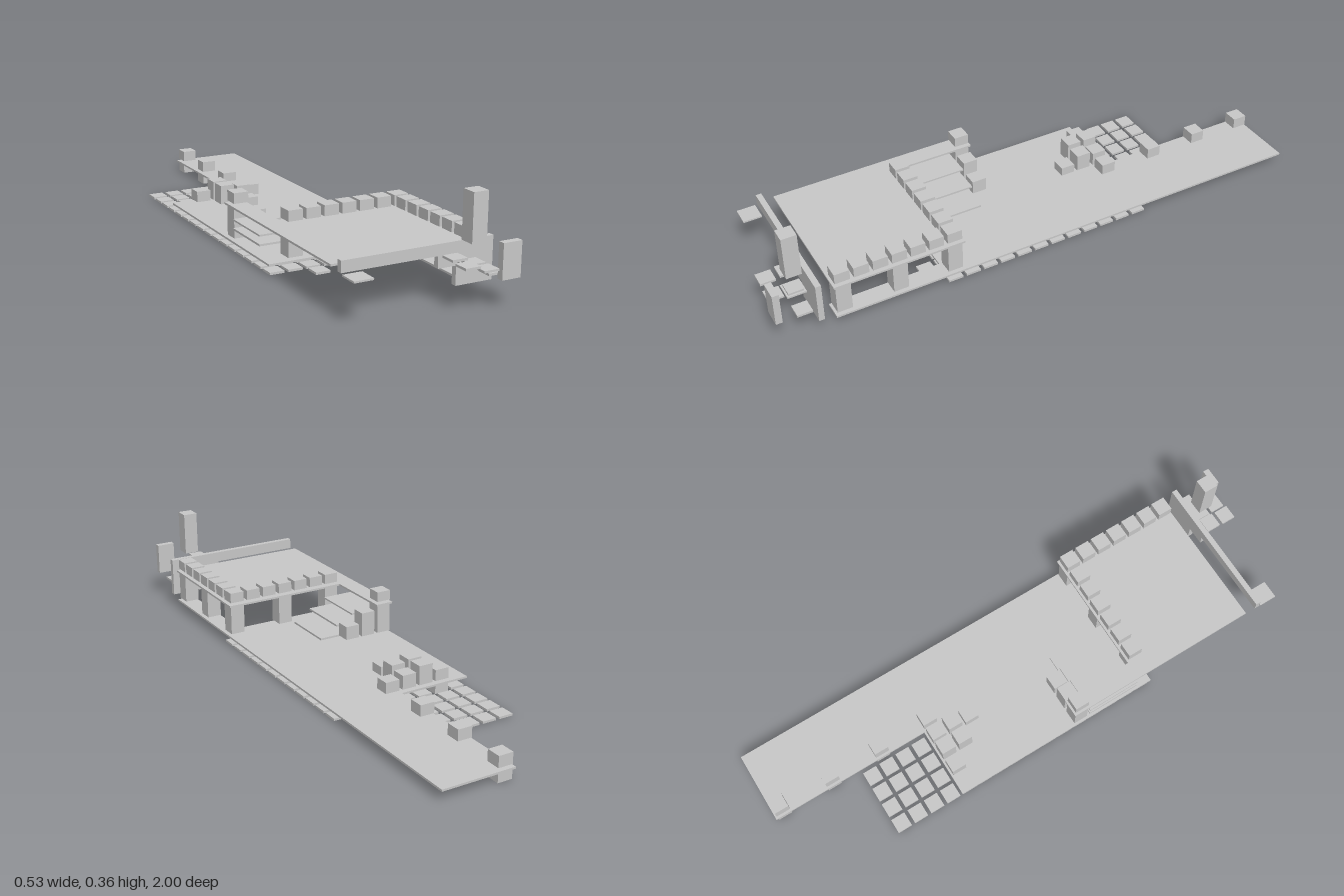
import * as THREE from 'three';

const U = 1 / 15; // grid module
const B = 0.0533; // block width

export function createModel() {
  const model = new THREE.Group();
  const grey = new THREE.MeshStandardMaterial({ color: 0xc8c8c8 });

  // box given by its limits on each axis
  function box(name, x0, x1, y0, y1, z0, z1) {
    const mesh = new THREE.Mesh(new THREE.BoxGeometry(x1 - x0, y1 - y0, z1 - z0), grey);
    mesh.name = name;
    mesh.position.set((x0 + x1) / 2, (y0 + y1) / 2, (z0 + z1) / 2);
    model.add(mesh);
  }
  // square block centred in grid cell (i, k)
  function block(name, i, k, y0, y1) {
    const x = (i + 0.5) * U, z = (k + 0.5) * U, h = B / 2;
    box(name, x - h, x + h, y0, y1, z - h, z + h);
  }

  // lower deck: one outline with a wide middle, a long arm and a side strip
  const deck = new THREE.Shape([
    [0, 1], [0.267, 1], [0.267, -0.8], [0.2, -0.8], [0.2, -0.4], [-0.267, -0.4], [-0.267, 0.4], [0, 0.4],
  ].map(([x, y]) => new THREE.Vector2(x, y)));
  const deckGeometry = new THREE.ExtrudeGeometry(deck, { depth: 0.007, bevelEnabled: false });
  deckGeometry.rotateX(-Math.PI / 2);
  const lowerDeck = new THREE.Mesh(deckGeometry, grey);
  lowerDeck.name = 'lowerDeck';
  lowerDeck.position.y = 0.035;
  model.add(lowerDeck);

  // upper deck
  box('upperDeck', -0.267, 0.267, 0.157, 0.164, 0.333, 0.8);

  // ground tiles
  for (let k = -10; k <= 5; k++) {
    for (let i = -4; i < (k < -6 ? 0 : 4); i++) block('groundTile', i, k, 0.002, 0.01);
  }
  for (const i of [2, 0, -2]) block('groundTile', i, 6, 0.002, 0.01);

  // pillars under the lower deck
  for (const k of [-15, -12, -9]) block('lowerPillar', 0, k, 0, 0.034);
  for (const k of [-6, -3, 0]) for (const i of [-3, 0]) block('lowerPillar', i, k, 0.01, 0.034);

  // pillars under the upper deck
  for (const [i, k] of [[3, 5], [3, 8], [3, 11], [0, 5], [-3, 5]]) block('upperPillar', i, k, 0.05, 0.155);

  // parapet blocks on the upper deck
  for (let i = -3; i <= 3; i++) block('parapetBlock', i, 5, 0.172, 0.209);
  for (let k = 6; k <= 11; k++) block('parapetBlock', 3, k, 0.172, 0.209);

  // blocks along the arm
  for (const k of [-15, -12, -9, -6]) block('armBlock', 0, k, 0.05, 0.09);

  // block cluster
  const cluster = [
    [-3, -6, 0.09], [-2, -6, 0.12], [-1, -6, 0.1],
    [-2, -5, 0.12], [-1, -5, 0.112], [-1, -4, 0.082],
  ];
  for (const [i, k, top] of cluster) block('clusterBlock', i, k, 0.05, top);

  // wide steps with their end posts
  box('step', -0.133, 0, 0.043, 0.05, 0.133, 0.333);
  box('step', -0.267, -0.067, 0.083, 0.09, 0.133, 0.333);
  box('step', -0.267, -0.133, 0.116, 0.122, 0.133, 0.333);
  box('landing', -0.267, -0.2, 0.157, 0.164, 0.067, 0.333);
  block('stepPost', -2, 1, 0.05, 0.1);
  block('stepPost', -3, 1, 0.05, 0.14);
  block('stepPost', -4, 1, 0.05, 0.155);
  block('stepPostCap', -4, 1, 0.172, 0.209);

  // front wall, deeper towards one side
  box('frontWall', -0.267, 0.067, 0.155, 0.193, 0.84, 0.86);
  box('frontWall', 0.067, 0.133, 0.115, 0.193, 0.84, 0.86);
  box('frontWall', 0.133, 0.267, 0.05, 0.193, 0.84, 0.86);

  // loose pieces ahead of the wall
  block('tower', 2, 13, 0.2, 0.36);
  box('uprightPanel', 0.2, 0.267, 0.1, 0.216, 0.977, 1);
  box('ledge', -0.267, -0.2, 0.147, 0.153, 0.867, 0.933);
  box('ledge', 0.133, 0.2, 0.124, 0.13, 0.867, 0.933);
  block('frontTile', 1, 13, 0.153, 0.161);
  block('frontTile', 1, 14, 0.147, 0.155);
  block('frontTile', 2, 13, 0.13, 0.137);
  block('frontTile', 2, 14, 0.13, 0.137);
  block('frontTile', 3, 13, 0.09, 0.098);

  return model;
}
